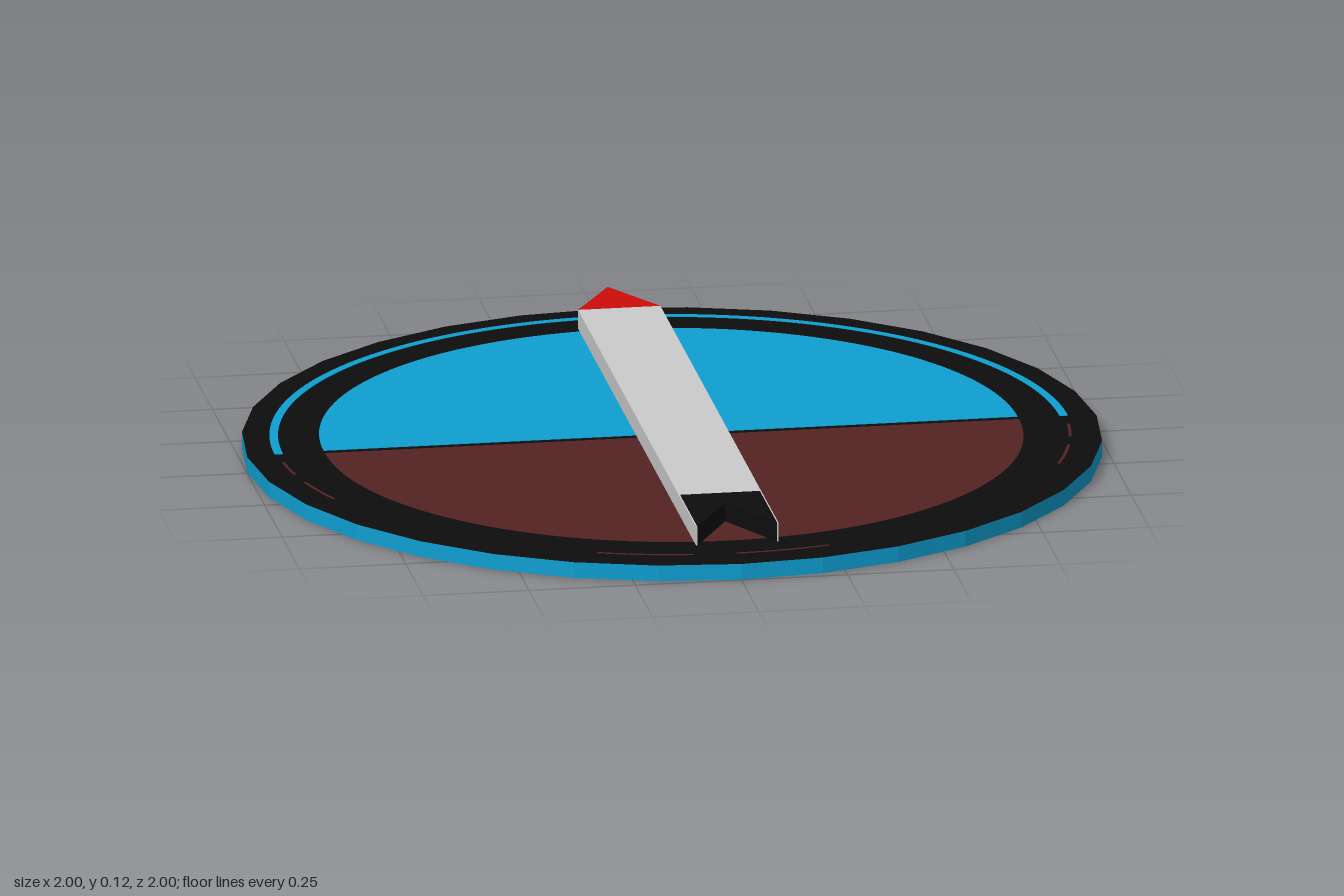
import * as THREE from 'three';

const mat = (name, color) => Object.assign(new THREE.MeshStandardMaterial({ color }), { name });

export function createModel() {
  const model = new THREE.Group();
  const black = mat('black', 0x0d0d0d);
  const blue = mat('skyBlue', 0x0f9fd1);
  const brown = mat('groundBrown', 0x542222);
  const grey = mat('needleGrey', 0xcccccc);
  const red = mat('tipRed', 0xcf0c0c);

  const add = (name, geometry, material, y = 0, z = 0, x = 0, parent = model) => {
    const mesh = new THREE.Mesh(geometry, material);
    mesh.name = name;
    mesh.position.set(x, y, z);
    parent.add(mesh);
    return mesh;
  };
  // Plan outline (x, -z) raised upward
  const slab = (shape, height) =>
    new THREE.ExtrudeGeometry(shape, { depth: height, bevelEnabled: false, curveSegments: 48 }).rotateX(-Math.PI / 2);
  const outline = points => new THREE.Shape(points.map(([x, z]) => new THREE.Vector2(x, -z)));
  const faceted = geometry => {
    const g = geometry.toNonIndexed();
    g.computeVertexNormals();
    return g;
  };

  // Dial plate: black faces with a blue faceted rim
  const T = 0.04;
  const plate = new THREE.CylinderGeometry(1, 1, T - 0.002, 32);
  const groups = plate.groups;
  const flatPlate = faceted(plate);
  flatPlate.groups = groups;
  add('dialPlate', flatPlate, [blue, black, black], T / 2);

  // Dark lower band along the back of the rim
  const step = Math.PI / 16;
  add('rearRimBand', faceted(new THREE.CylinderGeometry(1.001, 1.001, 0.017, 10, 1, true, Math.PI - 5 * step, 10 * step)),
    black, 0.01);

  // Half-disc inlays, visible on both faces of the plate
  const half = start => {
    const s = new THREE.Shape();
    s.absarc(0, 0, 0.817, start, start + Math.PI, false);
    s.closePath();
    return s;
  };
  add('skyHalf', slab(half(0), T), blue, 0, -0.02);
  add('groundHalf', slab(half(Math.PI), T), brown, 0, 0);

  // Thin arcs set into the black ring
  const arc = (r0, r1, a, b) => {
    const s = new THREE.Shape();
    s.absarc(0, 0, r1, a, b, false);
    s.absarc(0, 0, r0, b, a, true);
    s.closePath();
    return s;
  };
  add('skyArc', slab(arc(0.914, 0.934, 0, Math.PI), T), blue, 0, -0.01);
  for (const [a, b] of [[184, 190], [194, 203], [250, 264], [270, 284], [337, 346], [350, 356]]) {
    add('groundArc', slab(arc(0.923, 0.93, a * Math.PI / 180, b * Math.PI / 180), T), brown, 0, -0.01);
  }

  // Needle floating above the dial
  const needle = new THREE.Group();
  needle.name = 'needle';
  needle.position.y = 0.07;
  model.add(needle);
  const H = 0.046, W = 0.097;
  add('needleBody', new THREE.BoxGeometry(2 * W, H, 1.45), grey, H / 2, -0.035, 0, needle);
  add('needleTip', slab(outline([[-W, -0.76], [W, -0.76], [0, -0.925]]), H), red, 0, 0, 0, needle);
  // Notched black tail with grey outer sides
  const w = W - 0.003;
  add('needleTail', slab(outline([[-w, 0.69], [-w, 0.94], [0, 0.765], [w, 0.94], [w, 0.69]]), H), black, 0, 0, 0, needle);
  for (const side of [-1, 1]) {
    add('tailSide', new THREE.BoxGeometry(0.003, H, 0.25), grey, H / 2, 0.815, side * (W - 0.0015), needle);
  }
  return model;
}
